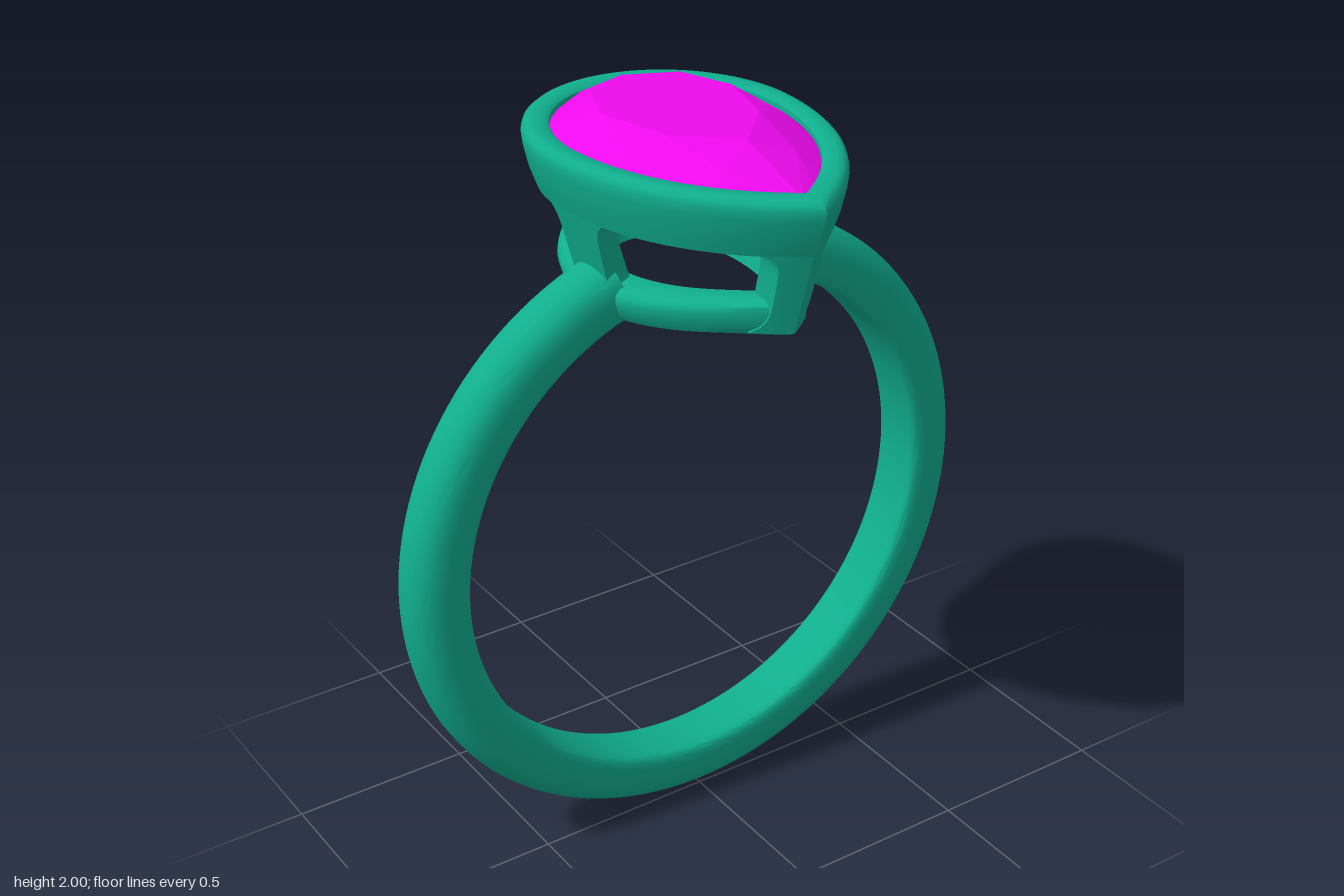
import * as THREE from 'three';
import { toCreasedNormals } from 'three/addons/utils/BufferGeometryUtils.js';
import { ConvexGeometry } from 'three/addons/geometries/ConvexGeometry.js';

const metal = new THREE.MeshStandardMaterial({ color: 0x10ae8e });
const stone = new THREE.MeshStandardMaterial({ color: 0xee0aee });
const CENTRE_Y = 0.86;

// Pear outline: u = 0 at the front tip, 0.5 at the widest point on +x, 1 at the back.
// w = half width, zf = tip, zb = back.
function pear(u, [w, zf, zb], y) {
  if (u < 0) return pear(-u, [w, zf, zb], y).multiply(new THREE.Vector3(-1, 1, 1));
  const zc = zb + 0.38 * (zf - zb);
  if (u > 0.5) {
    const a = (u - 0.5) * Math.PI;
    return new THREE.Vector3(w * Math.cos(a), y, zc + (zb - zc) * Math.sin(a));
  }
  const len = zf - zc;
  const r = (w * w + len * len) / (2 * w);
  const a = Math.asin(len / r) * (1 - 2 * u);
  return new THREE.Vector3(r * Math.cos(a) - (r - w), y, zc + r * Math.sin(a));
}

// Grid of nu x nv quads over fn(i, j), smooth except at sharp edges
function surface(nu, nv, fn) {
  const pos = [], index = [];
  for (let j = 0; j <= nv; j++) {
    for (let i = 0; i <= nu; i++) pos.push(...fn(i, j).toArray());
  }
  for (let j = 0; j < nv; j++) {
    for (let i = 0; i < nu; i++) {
      const a = j * (nu + 1) + i, b = a + 1, c = b + nu + 1, d = a + nu + 1;
      index.push(a, b, c, a, c, d);
    }
  }
  const geo = new THREE.BufferGeometry();
  geo.setAttribute('position', new THREE.Float32BufferAttribute(pos, 3));
  geo.setIndex(index);
  return toCreasedNormals(geo, 0.75);
}

// Closed profile of [w, zf, zb, height] carried round the pear outline
function pearRing(profile, bend) {
  const n = 96, m = profile.length;
  return surface(n, m, (i, j) => {
    const [w, zf, zb, h] = profile[j % m];
    const p = pear(-1 + (2 * i) / n, [w, zf, zb], h);
    if (bend) p.y = CENTRE_Y + Math.sqrt(h * h - p.x * p.x); // follow the finger
    return p;
  });
}

// Upright cut from the pear wall around u, flared where it meets the rings
function legGeometry(uc, half) {
  const n = 10, levels = 14;
  const lerp3 = (a, b, t) => a.map((v, k) => v + (b[k] - v) * t);
  return surface(2 * n + 2, levels, (i, j) => {
    const t = j / levels;
    const h = half * (1 + 0.7 * Math.abs(2 * t - 1) ** 5);
    const outer = lerp3([0.278, 0.4, -0.42], [0.338, 0.475, -0.485], t);
    const inner = lerp3([0.2, 0.3, -0.33], [0.28, 0.38, -0.405], t);
    const k = i % (2 * n + 2);
    const onOuter = k <= n;
    const s = onOuter ? k / n : 1 - (k - n - 1) / n;
    let u = uc + h * (2 * s - 1);
    return pear(u, onOuter ? outer : inner, 1.575 + 0.24 * t);
  });
}

// Brilliant-cut stone as the hull of staggered facet corners
function gemGeometry() {
  const pts = [new THREE.Vector3(0, 1.65, -0.17)];
  const ring = (n, offset, dims, y) => {
    for (let k = 0; k < n; k++) pts.push(pear(-1 + (2 * (k + offset)) / n, dims, y));
  };
  ring(8, 0, [0.17, 0.2, -0.34], 1.79);
  ring(32, 0, [0.295, 0.43, -0.45], 1.9);
  ring(32, 0, [0.295, 0.43, -0.45], 1.93);
  ring(8, 0.5, [0.255, 0.345, -0.41], 1.965);
  ring(8, 0, [0.19, 0.2, -0.35], 2.0);
  return new ConvexGeometry(pts);
}

// Band: flat inside, rounded outside, open under the setting
function bandGeometry() {
  const side = [[0.703, 0.06], [0.712, 0.076], [0.74, 0.0825], [0.79, 0.081],
    [0.825, 0.068], [0.848, 0.042], [0.858, 0.015]];
  const half = new THREE.SplineCurve(side.map(([r, z]) => new THREE.Vector2(r, z))).getPoints(20);
  const profile = [
    ...half.map(p => new THREE.Vector2(p.x, -p.y)),
    ...half.slice().reverse(),
  ];
  profile.push(profile[0].clone());
  const gap = 0.31;
  const geo = new THREE.LatheGeometry(profile, 128, gap, 2 * Math.PI - 2 * gap);
  return toCreasedNormals(geo.rotateX(-Math.PI / 2), 0.75);
}

export function createModel() {
  const model = new THREE.Group();
  model.name = 'ring';
  const add = (name, geo, mat = metal) => {
    const mesh = new THREE.Mesh(geo, mat);
    mesh.name = name;
    model.add(mesh);
    return mesh;
  };

  add('band', bandGeometry()).position.set(0, CENTRE_Y, -0.05);

  // Bezel holding the stone
  add('bezel', pearRing([
    [0.334, 0.47, -0.48, 1.8],
    [0.35, 0.493, -0.502, 1.85],
    [0.36, 0.509, -0.516, 1.9],
    [0.362, 0.514, -0.52, 1.925],
    [0.358, 0.508, -0.516, 1.94],
    [0.348, 0.493, -0.505, 1.949],
    [0.335, 0.477, -0.492, 1.951],
    [0.305, 0.442, -0.46, 1.951],
    [0.295, 0.43, -0.45, 1.943],
    [0.292, 0.425, -0.447, 1.9],
    [0.275, 0.38, -0.405, 1.8],
  ], false));

  // Lower gallery ring, heights are radii from the finger axis
  add('baseRing', pearRing([
    [0.235, 0.382, -0.405, 0.705],
    [0.262, 0.395, -0.42, 0.715],
    [0.278, 0.403, -0.427, 0.74],
    [0.288, 0.412, -0.434, 0.775],
    [0.285, 0.408, -0.43, 0.79],
    [0.272, 0.392, -0.417, 0.798],
    [0.215, 0.32, -0.35, 0.798],
    [0.198, 0.3, -0.333, 0.788],
    [0.175, 0.28, -0.31, 0.705],
  ], true));

  // Four legs between the rings
  add('frontLeg', legGeometry(0, 0.052));
  add('backLeg', legGeometry(1, 0.056));
  add('leftLeg', legGeometry(0.455, 0.054));
  add('rightLeg', legGeometry(-0.455, 0.054));

  add('gemstone', gemGeometry(), stone);
  return model;
}
